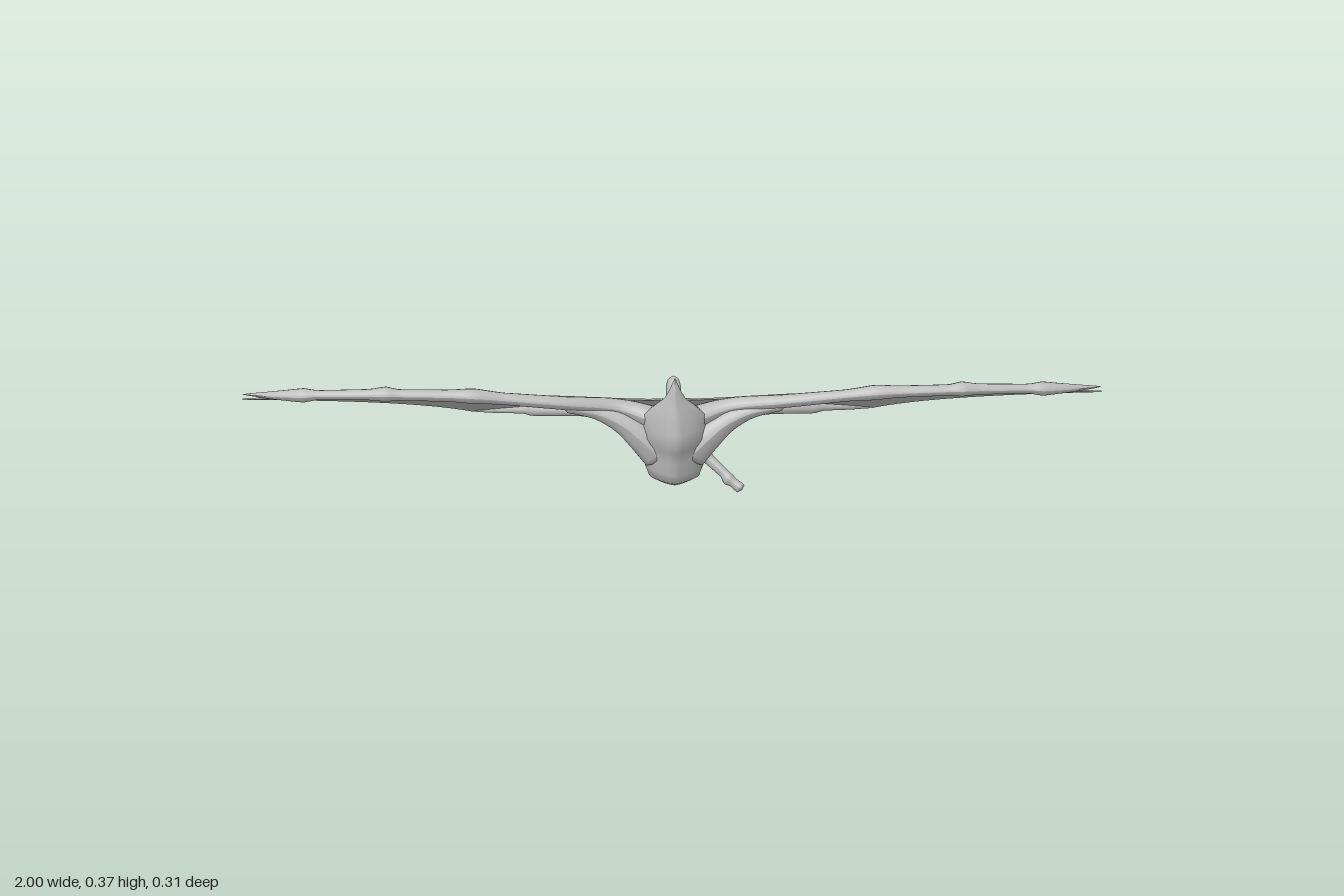
import * as THREE from 'three';

const grey = new THREE.MeshStandardMaterial({ color: 0xb8b8b8 });
grey.name = 'stoneGrey';

function part(group, name, geometry) {
  const mesh = new THREE.Mesh(geometry, grey);
  mesh.name = name;
  group.add(mesh);
  return mesh;
}

// Tube through [x, y, z, radius] points, closed at both ends
function limb(points, sides = 12, side = 1, perSpan = 6) {
  const curve = new THREE.CatmullRomCurve3(points.map(p => new THREE.Vector3(p[0] * side, p[1], p[2])), false, 'centripetal');
  const seg = (points.length - 1) * perSpan;
  const geo = new THREE.TubeGeometry(curve, seg, 1, sides);
  const pos = geo.attributes.position, v = new THREE.Vector3();
  for (let i = 0; i <= seg; i++) {
    const c = curve.getPointAt(i / seg);
    const t = curve.getUtoTmapping(i / seg) * (points.length - 1);
    const k = Math.min(points.length - 2, Math.floor(t));
    let r = THREE.MathUtils.lerp(points[k][3], points[k + 1][3], t - k);
    if (i === 0 || i === seg) r = 0;
    for (let j = 0; j <= sides; j++) {
      const n = i * (sides + 1) + j;
      v.fromBufferAttribute(pos, n).sub(c).multiplyScalar(r).add(c);
      pos.setXYZ(n, v.x, v.y, v.z);
    }
  }
  geo.computeVertexNormals();
  return geo;
}

// Horizontal rings [y, zBack, zFront, halfWidth] with a keeled front
function torso(rings, sides = 32) {
  const pos = [], index = [];
  rings.forEach(([y, zb, zf, w], i) => {
    for (let j = 0; j < sides; j++) {
      const a = j / sides * Math.PI * 2, c = Math.cos(a), s = Math.sin(a);
      const lump = 1 + 0.04 * Math.sin(5 * a + Math.PI / 2) * Math.cos(y * 70);
      const keel = c > 0 ? 0.6 * c + 0.4 * (1 - Math.abs(s)) : c;
      pos.push(s * w * lump, y, (zb + zf) / 2 + keel * (zf - zb) / 2);
      if (i < rings.length - 1) {
        const p = i * sides + j, q = i * sides + (j + 1) % sides;
        index.push(p, q, p + sides, q, q + sides, p + sides);
      }
    }
  });
  const geo = new THREE.BufferGeometry();
  geo.setAttribute('position', new THREE.Float32BufferAttribute(pos, 3));
  geo.setIndex(index);
  geo.computeVertexNormals();
  return geo;
}

// One thin sheet spanning both wings and the back, tilted down to the rear
function membrane() {
  const half = [[0.06, -0.045], [0.13, -0.055], [0.25, -0.08], [0.4, -0.1], [0.55, -0.11],
    [0.67, -0.115], [0.85, -0.106], [1, -0.085]];
  const s = new THREE.Shape();
  s.moveTo(0, -0.05);
  half.forEach(p => s.lineTo(...p));
  s.bezierCurveTo(0.78, -0.075, 0.58, -0.04, 0.485, 0.05);
  s.lineTo(0.465, 0.045);
  s.bezierCurveTo(0.38, 0.015, 0.24, 0.01, 0.13, 0.075);
  s.quadraticCurveTo(0.07, 0.105, 0, 0.115);
  s.quadraticCurveTo(-0.07, 0.105, -0.13, 0.075);
  s.bezierCurveTo(-0.24, 0.01, -0.38, 0.015, -0.465, 0.045);
  s.lineTo(-0.485, 0.05);
  s.bezierCurveTo(-0.58, -0.04, -0.78, -0.075, -1, -0.085);
  half.slice(0, -1).reverse().forEach(p => s.lineTo(-p[0], p[1]));
  const geo = new THREE.ExtrudeGeometry(s, { depth: 0.004, bevelEnabled: false, curveSegments: 16 });
  const pos = geo.attributes.position;
  for (let i = 0; i < pos.count; i++) {
    const z = -pos.getY(i);
    pos.setXYZ(i, pos.getX(i), 0.258 + 0.66 * z + pos.getZ(i), z);
  }
  geo.computeVertexNormals();
  return geo;
}

export function createModel() {
  const model = new THREE.Group();
  model.name = 'wingedTorso';

  // Body
  part(model, 'chest', torso([
    [0.088, 0.05, 0.055, 0.002], [0.092, 0.015, 0.1, 0.042], [0.105, 0, 0.123, 0.06],
    [0.13, -0.01, 0.132, 0.07], [0.16, -0.03, 0.134, 0.074], [0.19, -0.045, 0.142, 0.08],
    [0.213, -0.045, 0.156, 0.082], [0.24, -0.02, 0.15, 0.08], [0.27, 0.02, 0.143, 0.07],
    [0.295, 0.06, 0.136, 0.045], [0.315, 0.085, 0.131, 0.025], [0.335, 0.1, 0.127, 0.015],
    [0.37, 0.115, 0.116, 0.0005]]));
  part(model, 'abdomen', limb([[0, 0.17, 0.03, 0.055], [0, 0.17, -0.03, 0.05],
    [0, 0.165, -0.08, 0.04], [0, 0.16, -0.12, 0.028], [0, 0.16, -0.15, 0.015]], 16)).scale.x = 1.3;

  // Upright stub on the back
  part(model, 'backPost', limb([[0, 0.22, 0.015, 0.018], [0, 0.265, -0.01, 0.018],
    [0, 0.295, -0.028, 0.018], [0, 0.31, -0.036, 0.013], [0, 0.317, -0.041, 0.003]], 8));

  part(model, 'wingMembrane', membrane());

  for (const side of [1, -1]) {
    const wing = new THREE.Group();
    wing.name = side > 0 ? 'leftWing' : 'rightWing';
    model.add(wing);

    // Leading bone with knuckles and a spear-shaped tip
    part(wing, 'leadingBone', limb([
      [0.04, 0.25, 0.07, 0.03], [0.13, 0.278, 0.062, 0.02], [0.25, 0.298, 0.085, 0.016],
      [0.4, 0.318, 0.101, 0.014], [0.465, 0.327, 0.107, 0.018], [0.52, 0.33, 0.11, 0.014],
      [0.635, 0.335, 0.115, 0.013], [0.665, 0.337, 0.115, 0.018], [0.7, 0.336, 0.114, 0.013],
      [0.82, 0.334, 0.109, 0.011], [0.855, 0.333, 0.107, 0.017], [0.92, 0.331, 0.1, 0.01],
      [1, 0.328, 0.085, 0.001]], 12, side));
    // Upper arm flaring out of the flank
    part(wing, 'upperArm', limb([[0.03, 0.16, 0.06, 0.05], [0.075, 0.205, 0.065, 0.04],
      [0.12, 0.242, 0.066, 0.03], [0.18, 0.27, 0.072, 0.018], [0.26, 0.288, 0.086, 0.01]], 12, side));
    part(wing, 'shoulder', new THREE.SphereGeometry(0.03, 16, 12)).position.set(side * 0.08, 0.23, 0.015);
    // Finger running under the sheet to the trailing point
    part(wing, 'trailingFinger', limb([[0.15, 0.262, 0.055, 0.02], [0.22, 0.262, 0.04, 0.014],
      [0.335, 0.25, 0.004, 0.015], [0.36, 0.247, -0.004, 0.009], [0.46, 0.234, -0.042, 0.007],
      [0.475, 0.235, -0.047, 0.01], [0.487, 0.238, -0.053, 0.004]], 10, side));
    part(wing, 'fingerKnuckle', new THREE.SphereGeometry(0.012, 12, 8)).position.set(side * 0.34, 0.257, 0);
    part(model, 'hip', new THREE.SphereGeometry(0.032, 16, 12)).position.set(side * 0.04, 0.155, -0.105);
  }

  // Left leg trailing down and outward
  part(model, 'leftLeg', limb([[0.035, 0.155, -0.125, 0.026], [0.05, 0.13, -0.128, 0.025],
    [0.065, 0.1, -0.105, 0.025], [0.08, 0.085, -0.092, 0.021], [0.09, 0.077, -0.086, 0.014],
    [0.128, 0.046, -0.064, 0.012], [0.137, 0.036, -0.057, 0.016], [0.148, 0.029, -0.052, 0.012],
    [0.165, 0.017, -0.044, 0.013], [0.17, 0.013, -0.041, 0.012]], 12));
  // Right leg folded across, with a short shin pointing sideways
  part(model, 'rightThigh', limb([[0.02, 0.115, -0.09, 0.015], [-0.03, 0.125, -0.1, 0.022],
    [-0.065, 0.138, -0.118, 0.022], [-0.09, 0.15, -0.132, 0.016]], 12));
  part(model, 'rightShin', limb([[-0.05, 0.14, -0.12, 0.018], [-0.085, 0.153, -0.134, 0.014],
    [-0.11, 0.162, -0.138, 0.013], [-0.12, 0.163, -0.14, 0.016], [-0.13, 0.165, -0.141, 0.012]], 12));
  return model;
}
